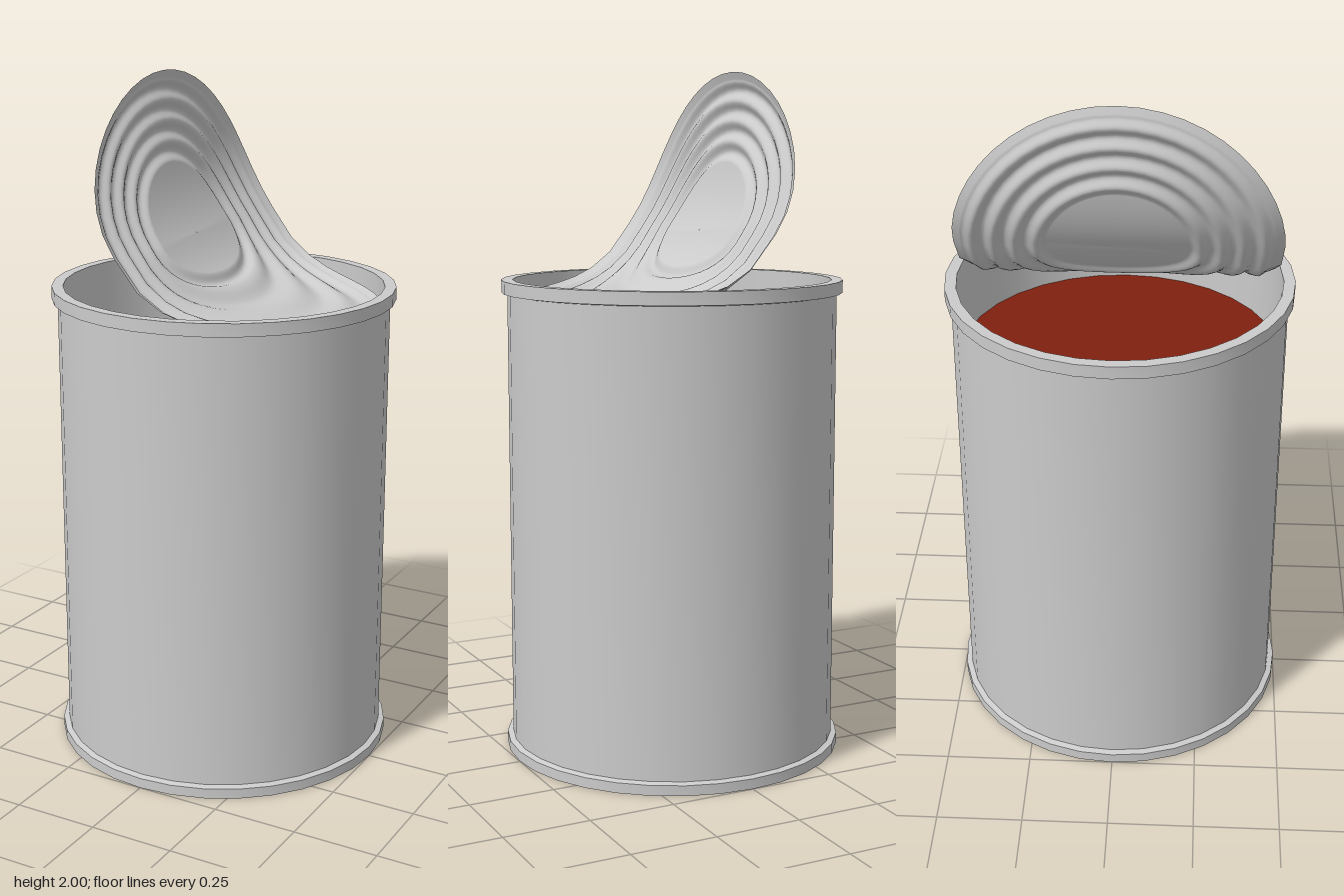
import * as THREE from 'three';
import { toCreasedNormals } from 'three/addons/utils/BufferGeometryUtils.js';
import { ParametricGeometry } from 'three/addons/geometries/ParametricGeometry.js';

const SIDES = 32;
const LID_R = 0.46;
const metal = new THREE.MeshStandardMaterial({ color: 0xcccccc });
const sheet = new THREE.MeshStandardMaterial({ color: 0xcccccc, side: THREE.DoubleSide });
const filling = new THREE.MeshStandardMaterial({ color: 0x80200f });

function addMesh(group, name, geometry, material) {
  const mesh = new THREE.Mesh(geometry, material);
  mesh.name = name;
  group.add(mesh);
  return mesh;
}

function lathe(points) {
  const profile = points.map(([r, y]) => new THREE.Vector2(r, y));
  return toCreasedNormals(new THREE.LatheGeometry(profile, SIDES), 0.5);
}

// Pressed ridges of the end plates: flat centre, four waves, small raised edge
function ridge(r) {
  if (r < 0.2) return 0;
  if (r < 0.436) return -0.007 * (1 - Math.cos((r - 0.2) / 0.059 * Math.PI * 2));
  return 0.01 * (r - 0.436) / (LID_R - 0.436);
}

// How far each ring of the lid stretches towards the hinge
const STRETCH = [[0, 0], [0.2, 0.085], [0.25, 0.13], [0.3, 0.23], [0.345, 0.365], [0.41, 0.51], [LID_R, 0.553]];
function stretch(r) {
  let i = 1;
  while (i < STRETCH.length - 1 && r > STRETCH[i][0]) i++;
  const [r0, s0] = STRETCH[i - 1], [r1, s1] = STRETCH[i];
  return s0 + (s1 - s0) * (r - r0) / (r1 - r0);
}

// Side profile of the peeled lid: s < 0 stands up, s > 0 runs down to the hinge
function bend(s) {
  return s < 0
    ? new THREE.Vector2(-0.215 + 0.125 * Math.exp(6 * s), 1.54 - s)
    : new THREE.Vector2(-0.09 + s, 1.34 + 0.2 * Math.exp(-8.4 * s));
}

function peeledLid(u, v, target) {
  const r = 0.001 + u * (LID_R - 0.001), a = v * Math.PI * 2;
  const c = Math.cos(a);
  const s = c * (c > 0 ? stretch(r) : r);
  const p = bend(s);
  const t = bend(s + 0.01).sub(bend(s - 0.01)).normalize();
  const d = ridge(r);
  target.set(p.x - t.y * d, p.y + t.x * d, -r * Math.sin(a));
}

function bottomPlate(u, v, target) {
  const r = 0.001 + u * (0.468 - 0.001), a = v * Math.PI * 2;
  target.set(r * Math.cos(a), 0.08 - ridge(Math.min(r, LID_R)), r * Math.sin(a));
}

export function createModel() {
  const can = new THREE.Group();
  can.name = 'openTinCan';

  // Wall with rolled rims, outside and inside
  addMesh(can, 'canWall', lathe([
    [0.467, 0.0], [0.5, 0.0], [0.5, 0.03], [0.483, 0.035],
    [0.483, 1.36], [0.5, 1.363], [0.5, 1.4], [0.467, 1.4],
    [0.467, 1.3], [0.467, 0.1], [0.467, 0.0],
  ]), metal);

  addMesh(can, 'bottomPlate', new ParametricGeometry(bottomPlate, 64, SIDES), sheet);

  // Filling surface inside the can
  const contents = addMesh(can, 'contents', new THREE.CircleGeometry(0.468, SIDES), filling);
  contents.rotation.x = -Math.PI / 2;
  contents.position.y = 1.16;

  addMesh(can, 'peeledLid', new ParametricGeometry(peeledLid, 72, 48), sheet);
  return can;
}
